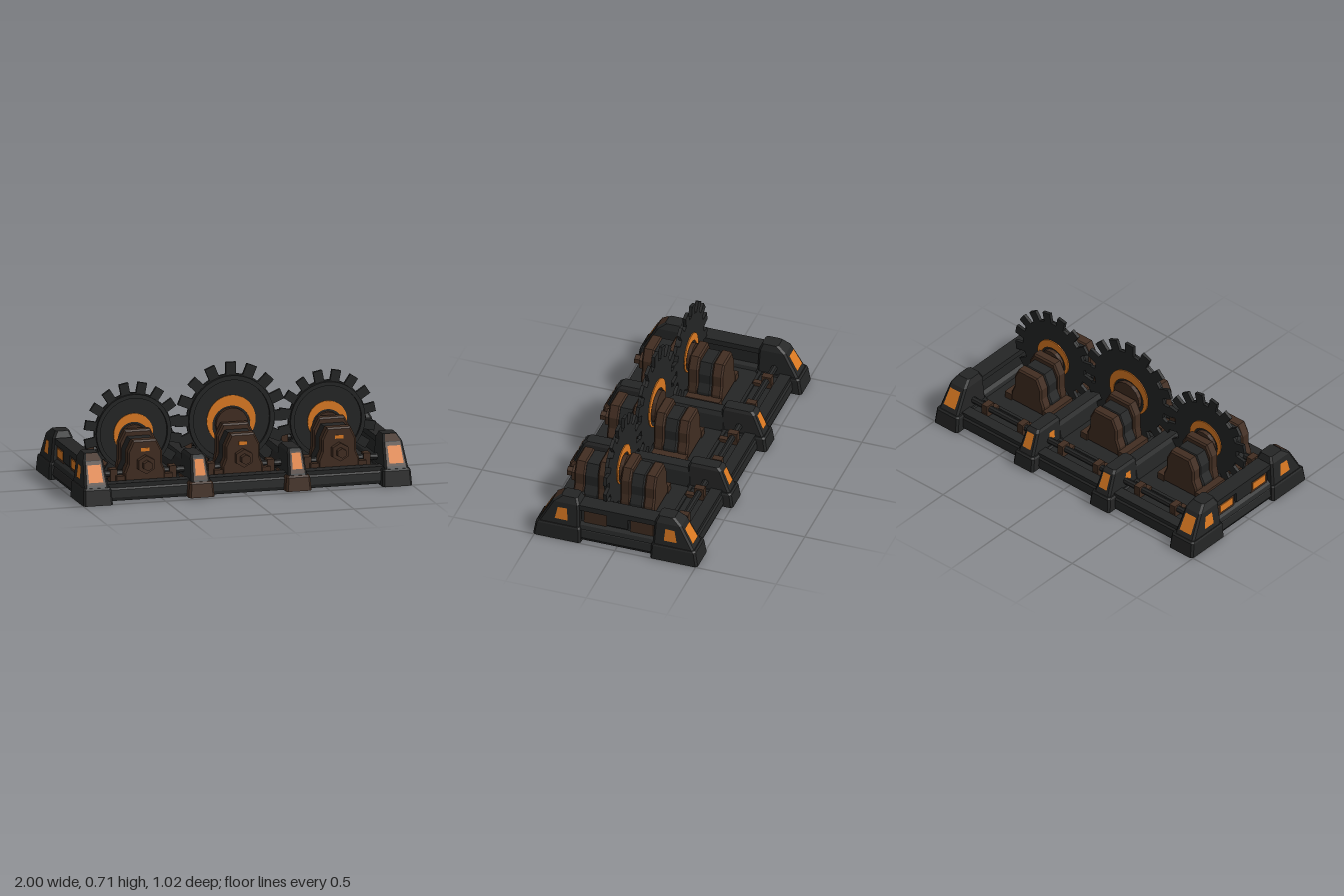
import * as THREE from 'three';

const mat = (name, color, side = THREE.FrontSide) => {
  const m = new THREE.MeshStandardMaterial({ color, side });
  m.name = name;
  return m;
};

export function createModel() {
  const iron = mat('dark iron', 0x242525);
  const rust = mat('rust brown', 0x412d21, THREE.DoubleSide);
  const glow = mat('orange', 0xdc7a22, THREE.DoubleSide);
  const root = new THREE.Group();
  root.name = 'gearMachine';

  const add = (name, geo, material, x = 0, y = 0, z = 0, parent = root) => {
    const mesh = new THREE.Mesh(geo, material);
    mesh.name = name;
    mesh.position.set(x, y, z);
    parent.add(mesh);
    return mesh;
  };
  const flat = (geo) => {
    const g = geo.index ? geo.toNonIndexed() : geo;
    g.computeVertexNormals();
    return g;
  };

  // Stack of chamfered rectangles, each given as [y, x0, x1, z0, z1]
  const loft = (sections, c = 0.012) => {
    const pos = [], idx = [];
    for (const [y, xa, xb, za, zb] of sections) {
      const x0 = Math.min(xa, xb), x1 = Math.max(xa, xb), z0 = Math.min(za, zb), z1 = Math.max(za, zb);
      for (const [x, z] of [[x1 - c, z1], [x1, z1 - c], [x1, z0 + c], [x1 - c, z0],
        [x0 + c, z0], [x0, z0 + c], [x0, z1 - c], [x0 + c, z1]]) pos.push(x, y, z);
    }
    const top = (sections.length - 1) * 8;
    for (let s = 0; s < top; s += 8) {
      for (let i = 0; i < 8; i++) {
        const a = s + i, b = s + (i + 1) % 8;
        idx.push(a, b, b + 8, a, b + 8, a + 8);
      }
    }
    for (let i = 1; i < 7; i++) idx.push(top, top + i, top + i + 1, 0, i + 1, i);
    const g = new THREE.BufferGeometry();
    g.setAttribute('position', new THREE.Float32BufferAttribute(pos, 3));
    g.setIndex(idx);
    return flat(g);
  };
  const quad = (name, material, a, b, c, d) => {
    const g = new THREE.BufferGeometry();
    g.setAttribute('position', new THREE.Float32BufferAttribute([a, b, c, a, c, d].flat(), 3));
    g.computeVertexNormals();
    return add(name, g, material);
  };
  const box = (name, m, w, h, d, x, y, z, parent) => add(name, new THREE.BoxGeometry(w, h, d), m, x, y, z, parent);

  // Base slab, raised border rails and floor seams
  add('base', loft([[0.01, -0.97, 0.97, -0.45, 0.45], [0.03, -0.98, 0.98, -0.455, 0.455],
    [0.075, -0.97, 0.97, -0.45, 0.45], [0.09, -0.96, 0.96, -0.435, 0.435]]), iron);
  for (const s of [1, -1]) {
    box('borderRail', iron, 1.9, 0.03, 0.07, 0, 0.095, s * 0.405);
    box('floorSeam', iron, 1.66, 0.012, 0.02, 0, 0.094, s * 0.25);
  }
  box('gearSlot', iron, 1.66, 0.012, 0.05, 0, 0.094, 0.1);

  // Corner posts with windows on the outer faces
  const cornerZ = (y) => 0.48 - (y - 0.1) * 0.08 / 0.145;
  const cornerX = (y) => 0.985 - (y - 0.1) * 0.015 / 0.145;
  for (const sx of [1, -1]) for (const sz of [1, -1]) {
    add('cornerFoot', loft([[0, sx * 0.82, sx, sz * 0.215, sz * 0.51], [0.09, sx * 0.825, sx * 0.995, sz * 0.22, sz * 0.495],
      [0.1, sx * 0.83, sx * 0.99, sz * 0.225, sz * 0.485]]), iron);
    add('cornerPost', loft([[0.1, sx * 0.84, sx * 0.985, sz * 0.228, sz * 0.48], [0.245, sx * 0.85, sx * 0.97, sz * 0.235, sz * 0.4],
      [0.282, sx * 0.865, sx * 0.95, sz * 0.25, sz * 0.35]]), iron);
    const f = (x, y, o) => [sx * x, y, sz * (cornerZ(y) + o)];
    quad('cornerWindow', glow, f(0.87, 0.13, 0.006), f(0.957, 0.13, 0.006), f(0.952, 0.225, 0.006), f(0.873, 0.225, 0.006));
    if (sz > 0) {
      quad('cornerFrame', rust, f(0.855, 0.115, 0.003), f(0.968, 0.115, 0.003), f(0.958, 0.243, 0.003), f(0.863, 0.243, 0.003));
      quad('cornerHood', rust, [sx * 0.863, 0.248, 0.4], [sx * 0.957, 0.248, 0.4], [sx * 0.94, 0.284, 0.352], [sx * 0.876, 0.284, 0.352]);
    }
    const e = (z, y) => [sx * (cornerX(y) + 0.004), y, sz * z];
    quad('cornerSideWindow', glow, e(0.378, 0.135), e(0.362, 0.212), e(0.305, 0.215), e(0.298, 0.135));
  }

  // End walls with top rail, centre block and inset panels
  for (const s of [1, -1]) {
    add('endWall', loft([[0.085, s * 0.84, s * 0.975, -0.24, 0.24], [0.11, s * 0.85, s * 0.965, -0.24, 0.24],
      [0.125, s * 0.87, s * 0.945, -0.24, 0.24], [0.215, s * 0.87, s * 0.935, -0.24, 0.24]]), iron);
    box('endTopRail', iron, 0.1, 0.035, 0.48, s * 0.91, 0.225, 0);
    box('endCentreBlock', iron, 0.02, 0.07, 0.13, s * 0.95, 0.175, 0);
    for (const z of [0.14, -0.15]) {
      box('endPanelFrame', rust, 0.012, 0.085, 0.14, s * 0.945, 0.165, z);
      if (s < 0) box('endPanelLight', glow, 0.006, 0.05, 0.11, s * 0.953, 0.165, z);
    }
  }

  // Dividing beams with sloped posts at both ends
  const postZ = (y) => 0.485 - (y - 0.1) * 0.055 / 0.13;
  for (const x of [-0.28, 0.31]) {
    add('dividerBeam', loft([[0.085, x - 0.065, x + 0.065, -0.25, 0.25], [0.18, x - 0.05, x + 0.05, -0.25, 0.25],
      [0.205, x - 0.035, x + 0.035, -0.25, 0.25]]), iron);
    for (const s of [1, -1]) {
      add('postFoot', loft([[0.01, x - 0.078, x + 0.078, s * 0.22, s * 0.512], [0.09, x - 0.072, x + 0.072, s * 0.22, s * 0.5],
        [0.1, x - 0.065, x + 0.065, s * 0.22, s * 0.49]]), s > 0 ? [rust][0] : iron);
      add('post', loft([[0.095, x - 0.058, x + 0.058, s * 0.215, s * 0.487], [0.23, x - 0.047, x + 0.047, s * 0.225, s * 0.43],
        [0.247, x - 0.037, x + 0.037, s * 0.235, s * 0.41]]), iron);
      const f = (dx, y, o) => [x + dx, y, s * (postZ(y) + o)];
      quad('postWindow', glow, f(-0.03, 0.135, 0.006), f(0.03, 0.135, 0.006), f(0.026, 0.225, 0.006), f(-0.026, 0.225, 0.006));
      if (s > 0) quad('postFrame', rust, f(-0.044, 0.11, 0.003), f(0.044, 0.11, 0.003), f(0.036, 0.232, 0.003), f(-0.036, 0.232, 0.003));
    }
    quad('postSideLight', glow, [x - 0.058, 0.14, -0.34], [x - 0.058, 0.14, -0.29], [x - 0.053, 0.19, -0.29], [x - 0.053, 0.19, -0.33]);
  }

  // Long pipes with clamps
  const pipe = flat(new THREE.CylinderGeometry(0.02, 0.02, 1.72, 8).rotateZ(Math.PI / 2));
  for (const z of [-0.335, 0.3]) {
    add('pipe', pipe, iron, 0, 0.14, z);
    for (const c of [-0.585, 0.01, 0.595]) for (const s of [1, -1]) {
      const x = c + s * (z < 0 ? 0.137 : 0.18);
      box('pipeClamp', rust, 0.042, 0.075, 0.06, x, 0.132, z);
      if (z < 0) box('clampFoot', rust, 0.035, 0.025, 0.12, x, 0.1, z + 0.025);
    }
  }

  // Motor housing outline: w is shoulder half width, t is the top
  const housing = (w, t, depth) => {
    const pts = [[0.125, 0.09], [0.125, 0.15], [w, 0.2], [w, t - 0.07], [w * 0.68, t], [-w * 0.68, t],
      [-w, t - 0.07], [-w, 0.2], [-0.125, 0.15], [-0.125, 0.09]];
    const shape = new THREE.Shape(pts.map(([x, y]) => new THREE.Vector2(x, y)));
    const b = 0.01;
    return flat(new THREE.ExtrudeGeometry(shape, { depth: depth - 2 * b, bevelEnabled: true,
      bevelThickness: b, bevelSize: b, bevelOffset: -b, bevelSegments: 1 }).translate(0, 0, b));
  };
  const bolt = (r, d) => flat(new THREE.CylinderGeometry(r, r, d, 6).rotateX(Math.PI / 2));

  // Gear disc with square teeth
  const gearShape = (body, tip, offset) => {
    const shape = new THREE.Shape(), n = 16;
    const pts = [];
    for (let i = 0; i < n; i++) {
      const a = Math.PI / 2 + (i + offset) * 2 * Math.PI / n;
      for (const [r, d] of [[body, -0.5], [body, -0.3], [tip, -0.24], [tip, 0.24], [body, 0.3]]) {
        const t = a + d * 2 * Math.PI / n;
        pts.push(new THREE.Vector2(r * Math.cos(t), r * Math.sin(t)));
      }
    }
    return shape.setFromPoints(pts);
  };
  const ringShape = (outer, inner, dy = 0) => {
    const shape = new THREE.Shape().absarc(0, 0, outer, 0, Math.PI * 2);
    shape.holes.push(new THREE.Path().absarc(0, dy, inner, 0, Math.PI * 2, true));
    return shape;
  };
  const slab = (shape, depth) => new THREE.ExtrudeGeometry(shape, { depth, bevelEnabled: false, curveSegments: 20 });

  const units = [
    { x: -0.585, y: 0.335, tip: 0.298, body: 0.235, lamp: 0.12, offset: 0.5 },
    { x: 0.01, y: 0.378, tip: 0.338, body: 0.268, lamp: 0.148, offset: 0 },
    { x: 0.595, y: 0.335, tip: 0.298, body: 0.235, lamp: 0.12, offset: 0.5 },
  ];
  for (const u of units) {
    const g = new THREE.Group();
    g.name = 'gearUnit';
    g.position.x = u.x;
    root.add(g);

    add('gear', slab(gearShape(u.body, u.tip, u.offset), 0.02), iron, 0, u.y, 0.092, g);
    add('gearRim', slab(ringShape(u.body * 0.97, u.body * 0.87), 0.018), iron, 0, u.y, 0.112, g);
    add('gearHub', flat(new THREE.CylinderGeometry(u.lamp * 0.66, u.lamp * 0.66, 0.07, 16).rotateX(Math.PI / 2)),
      rust, 0, u.y - 0.03, 0.102, g);
    // Glowing crescents on both gear faces
    const crescent = slab(ringShape(u.lamp, u.lamp * 0.78, -u.lamp * 0.2), 0.006);
    add('frontCrescent', crescent, glow, 0, u.y - 0.008, 0.112, g);
    add('backCrescent', crescent, glow, 0, u.y - 0.008, 0.086, g);

    // Front motor, rear motor: [outline width, top, z start, depth, material]
    for (const [w, t, z, d, m] of [
      [0.115, 0.37, 0.15, 0.06, rust], [0.1, 0.335, 0.2, 0.1, iron], [0.105, 0.342, 0.29, 0.07, rust],
      [0.115, 0.365, 0.005, 0.065, rust], [0.1, 0.33, -0.075, 0.09, iron], [0.105, 0.338, -0.142, 0.068, rust],
    ]) add('motorHousing', housing(w, t, d), m, 0, 0, z, g);
    for (const s of [1, -1]) {
      box('motorFoot', rust, 0.05, 0.045, 0.17, s * 0.145, 0.11, 0.27, g);
      box('motorFoot', rust, 0.05, 0.045, 0.21, s * 0.145, 0.11, -0.04, g);
    }
    add('axle', bolt(0.03, 0.12), iron, 0, 0.25, 0.11, g);
    add('shaftCollar', bolt(0.055, 0.04), rust, 0, 0.2, 0.375, g);
    add('shaftEnd', bolt(0.03, 0.04), rust, 0, 0.2, 0.412, g);
    box('statusLight', glow, 0.05, 0.02, 0.008, 0, 0.285, 0.36, g);
  }
  return root;
}
